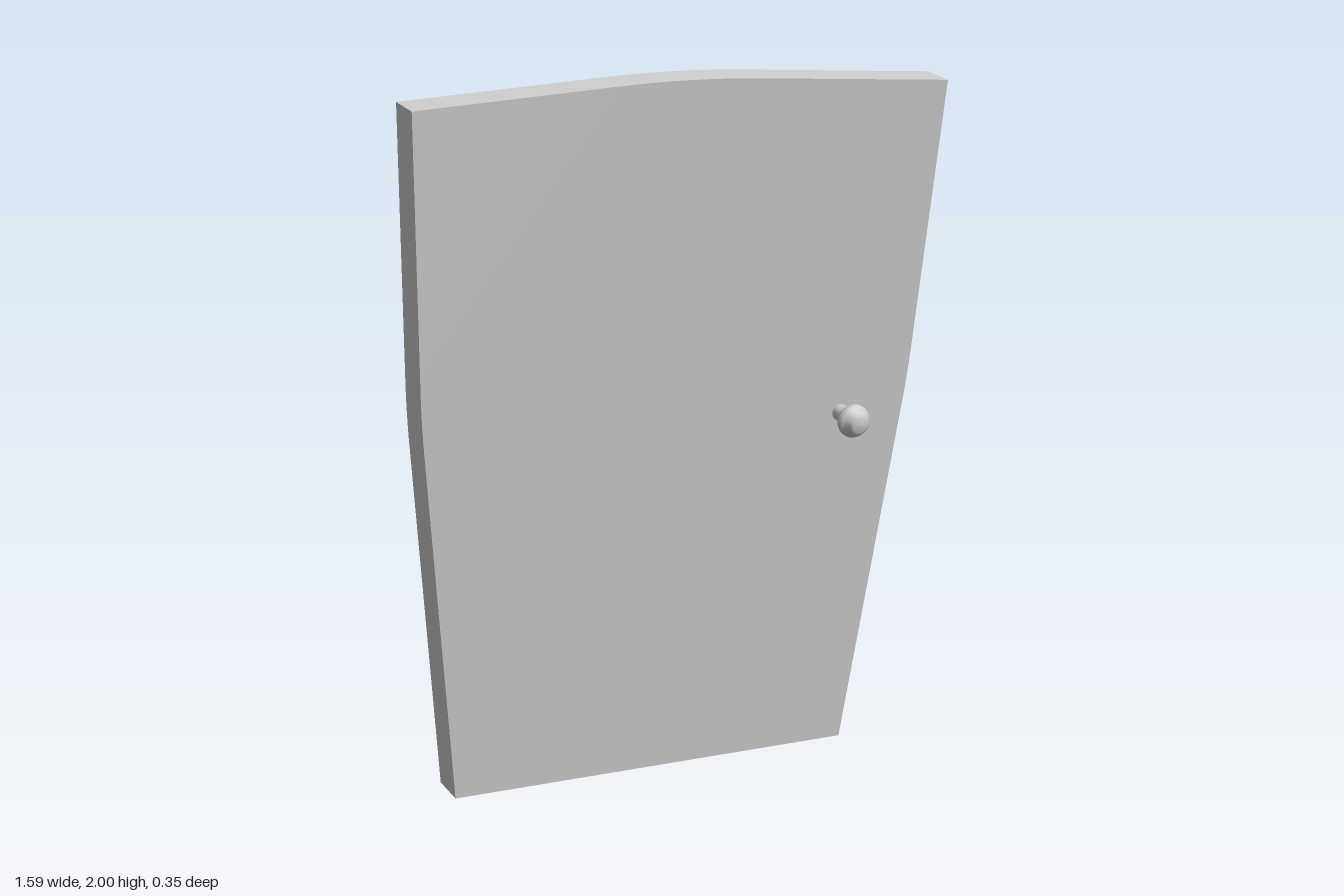
import * as THREE from 'three';
import { toCreasedNormals } from 'three/addons/utils/BufferGeometryUtils.js';

export function createModel() {
  const model = new THREE.Group();
  const material = new THREE.MeshStandardMaterial({ color: 0xcccccc });

  // The whole door leans forward; its local origin is the bottom front edge
  const door = new THREE.Group();
  door.name = 'door';
  door.rotation.x = 0.12;
  door.position.z = -0.067;
  model.add(door);

  // Slab: flared sides with a soft bend, gently peaked top
  const thickness = 0.108;
  const outline = new THREE.Shape();
  outline.moveTo(-0.61, 0);
  outline.lineTo(0.61, 0);
  outline.lineTo(0.73, 1.0);
  outline.quadraticCurveTo(0.744, 1.11, 0.75, 1.22);
  outline.lineTo(0.795, 1.961);
  outline.lineTo(0.18, 1.997);
  outline.quadraticCurveTo(0, 2.006, -0.18, 1.997);
  outline.lineTo(-0.795, 1.961);
  outline.lineTo(-0.75, 1.22);
  outline.quadraticCurveTo(-0.744, 1.11, -0.73, 1.0);
  outline.closePath();
  const slabGeometry = new THREE.ExtrudeGeometry(outline, {
    depth: thickness, bevelEnabled: false, curveSegments: 6,
  });
  slabGeometry.translate(0, 0, -thickness);
  const slab = new THREE.Mesh(toCreasedNormals(slabGeometry, 0.5), material);
  slab.name = 'doorSlab';
  door.add(slab);

  // Knob: thin stem, wide round body and smaller domed tip, turned about z
  const profile = [
    [0.024, -0.005], [0.024, 0.05], [0.031, 0.055], [0.043, 0.063], [0.048, 0.074],
    [0.048, 0.084], [0.044, 0.093], [0.034, 0.099], [0.031, 0.113], [0.022, 0.12], [0, 0.122],
  ].map(([r, z]) => new THREE.Vector2(r, z));
  const knobGeometry = new THREE.LatheGeometry(profile, 24);
  knobGeometry.rotateX(Math.PI / 2);
  const knob = new THREE.Mesh(knobGeometry, material);
  knob.name = 'doorKnob';
  knob.position.set(0.53, 1.017, 0);
  door.add(knob);

  return model;
}
